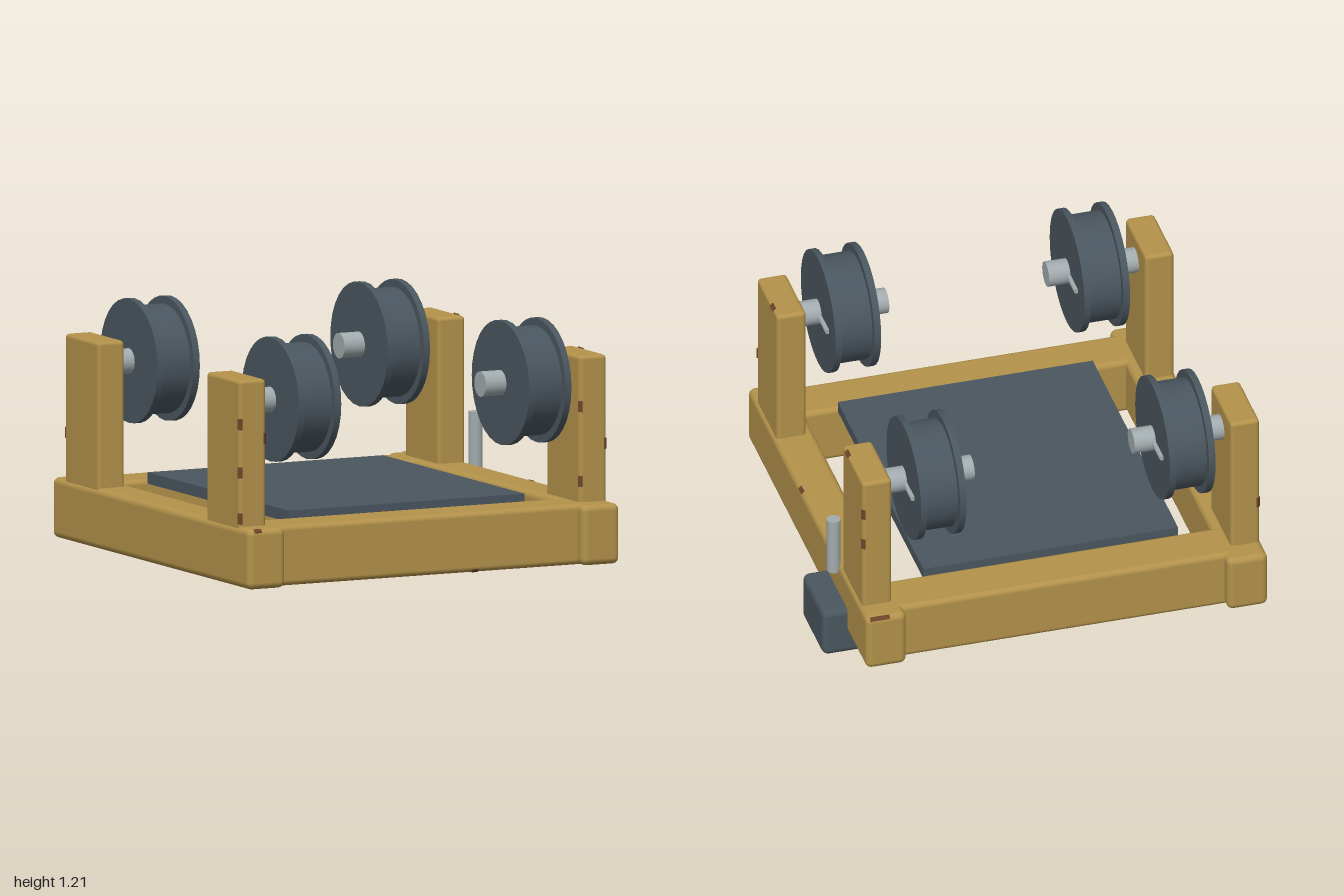
import * as THREE from 'three';
import { RoundedBoxGeometry } from 'three/addons/geometries/RoundedBoxGeometry.js';

const material = (name, color) => {
  const m = new THREE.MeshStandardMaterial({ color });
  m.name = name;
  return m;
};

export function createModel() {
  const model = new THREE.Group();
  model.name = 'rollerFrame';
  const ochre = material('ochrePaint', 0xb3924a);
  const dark = material('darkSteel', 0x4a565f);
  const silver = material('silverSteel', 0xa2abae);
  const rust = material('rust', 0x6b4429);

  const add = (parent, name, geometry, mat, x = 0, y = 0, z = 0) => {
    const mesh = new THREE.Mesh(geometry, mat);
    mesh.name = name;
    mesh.position.set(x, y, z);
    parent.add(mesh);
    return mesh;
  };
  // Box given by its limits on each axis, with rounded edges when r > 0
  const block = (name, mat, [x0, x1], [y0, y1], [z0, z1], r = 0) => {
    const size = [x1 - x0, y1 - y0, z1 - z0];
    const geo = r ? new RoundedBoxGeometry(...size, 3, r) : new THREE.BoxGeometry(...size);
    return add(model, name, geo, mat, (x0 + x1) / 2, (y0 + y1) / 2, (z0 + z1) / 2);
  };

  // Base frame: two long side rails joined by two cross rails
  const railY = [0.11, 0.385];
  block('rightSideRail', ochre, [-1, -0.81], railY, [-0.97, 0.97], 0.03);
  block('leftSideRail', ochre, [0.695, 0.885], railY, [-0.97, 0.97], 0.03);
  block('frontCrossRail', ochre, [-0.86, 0.745], railY, [0.69, 0.915], 0.025);
  block('backCrossRail', ochre, [-0.86, 0.745], railY, [-0.915, -0.69], 0.025);

  // Deck plate between the cross rails
  block('deckPlate', dark, [-0.655, 0.54], [0.365, 0.417], [-0.695, 0.695]);

  // Flanged wheel profile, turned round its axle
  const wheelGeo = new THREE.LatheGeometry([
    [0, -0.107], [0.283, -0.107], [0.283, -0.107], [0.283, -0.076], [0.283, -0.076],
    [0.248, -0.076], [0.248, -0.076], [0.248, 0.076], [0.248, 0.076],
    [0.283, 0.076], [0.283, 0.076], [0.283, 0.107], [0.283, 0.107], [0, 0.107],
  ].map(([r, h]) => new THREE.Vector2(r, h)), 32).rotateZ(-Math.PI / 2);
  const axleGeo = new THREE.CylinderGeometry(0.058, 0.058, 0.43, 20).rotateZ(Math.PI / 2);
  const pinGeo = new THREE.CylinderGeometry(0.013, 0.013, 0.18, 10).rotateX(Math.PI / 2);

  // Post, axle, wheel and retaining pin at each corner
  for (const front of [1, -1]) {
    for (const [post, wheelX, axleX] of [
      [[-0.99, -0.855], -0.642, -0.65],
      [[0.735, 0.872], 0.525, 0.53],
    ]) {
      const z = front * 0.695;
      block('post', ochre, post, [0.36, 1.05], [z - 0.165, z + 0.165], 0.018);
      const wheel = new THREE.Group();
      wheel.name = 'wheelAssembly';
      wheel.position.set(0, 0.93, z);
      model.add(wheel);
      add(wheel, 'wheel', wheelGeo, dark, wheelX);
      add(wheel, 'axle', axleGeo, silver, axleX);
      add(wheel, 'pin', pinGeo, silver, wheelX + 0.112, 0.003, -0.085);
    }
  }

  // Control box and its lever on the left rail
  block('controlBox', dark, [0.78, 1], [0, 0.238], [-0.66, -0.312], 0.032);
  add(model, 'lever', new THREE.CylinderGeometry(0.032, 0.032, 0.275, 16), silver, 0.9, 0.483, -0.485);

  // Chipped paint: thin plates laid at 45 degrees along worn edges
  const chip = (x, y, z, size, axis, angle) => {
    const mesh = add(model, 'rustChip', new THREE.BoxGeometry(...size), rust, x, y, z);
    mesh.rotation[axis] = angle;
  };
  const q = Math.PI / 4;
  for (const [x, y, side] of [
    [-0.985, 0.85, -1], [-0.985, 0.63, -1], [-0.985, 0.42, -1], [-0.86, 0.78, 1],
    [0.867, 0.645, 1], [0.74, 0.82, -1], [0.74, 0.48, -1],
  ]) chip(x, y, 0.855, [0.02, 0.05, 0.006], 'y', side * q);
  for (const [x, y, side] of [[0.867, 0.72, 1], [0.867, 0.88, 1], [-0.985, 0.6, -1]]) {
    chip(x, y, -0.855, [0.02, 0.05, 0.006], 'y', -side * q);
  }
  for (const [x, y, z] of [[0.867, 1.045, 0.62], [0.867, 1.045, -0.6], [0.876, 0.376, 0.12]]) {
    chip(x, y, z, [0.02, 0.006, 0.045], 'z', -q);
  }
  chip(0.18, 0.118, 0.907, [0.03, 0.02, 0.006], 'x', q);
  chip(-0.18, 0.378, 0.697, [0.03, 0.006, 0.02], 'x', -q);
  chip(0.82, 0.376, -0.961, [0.09, 0.006, 0.02], 'x', -q);
  chip(-0.95, 0.376, 0.961, [0.035, 0.006, 0.02], 'x', q);

  return model;
}
